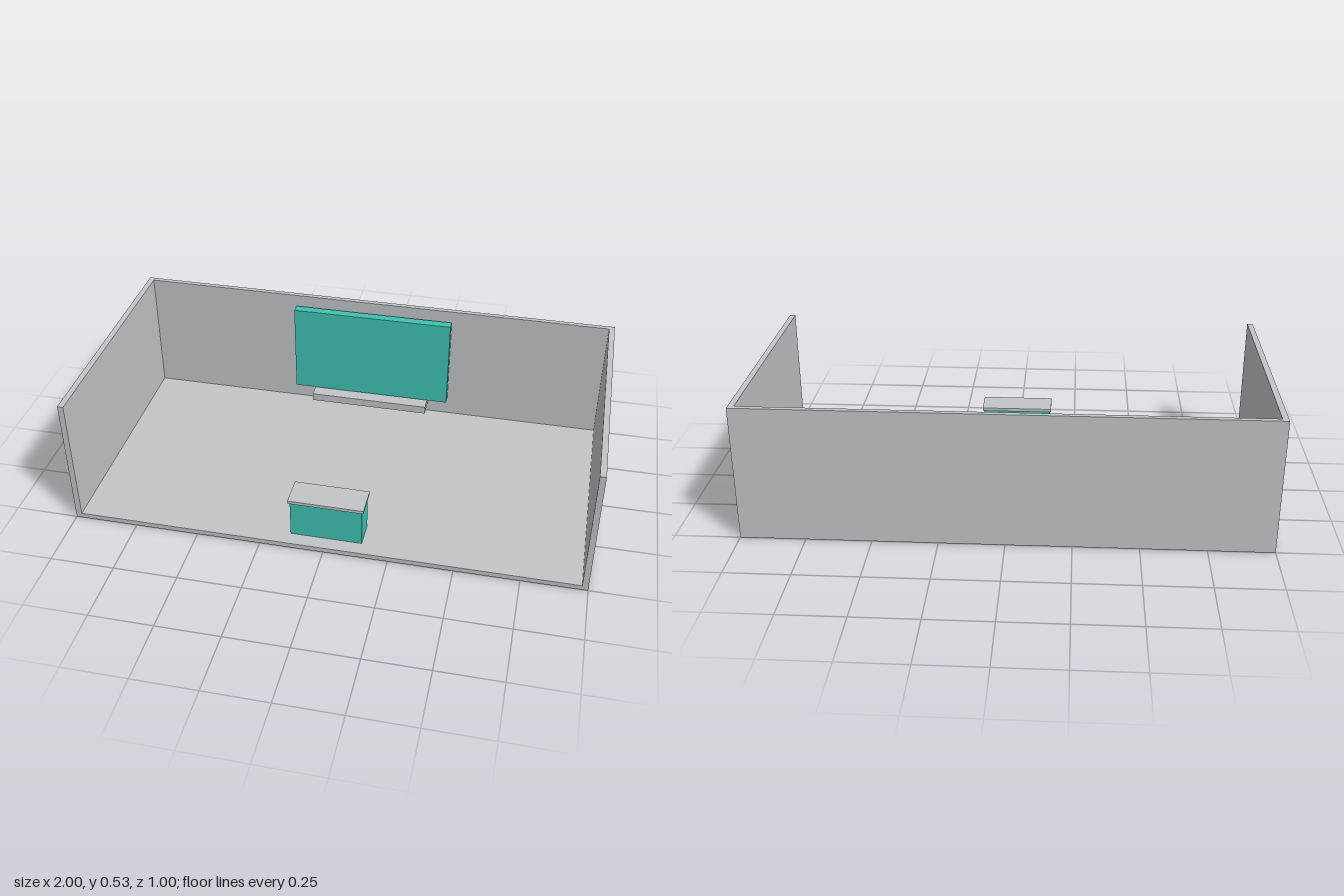
import * as THREE from 'three';

export function createModel() {
  const model = new THREE.Group();
  model.name = 'exhibitionBooth';

  const grey = new THREE.MeshStandardMaterial({ color: 0xc1c5c8 });
  grey.name = 'light grey';
  const teal = new THREE.MeshStandardMaterial({ color: 0x3fc1b2 });
  teal.name = 'teal';

  // Box given by its minimum and maximum corners
  const box = (name, material, [x0, y0, z0], [x1, y1, z1]) => {
    const mesh = new THREE.Mesh(new THREE.BoxGeometry(x1 - x0, y1 - y0, z1 - z0), material);
    mesh.position.set((x0 + x1) / 2, (y0 + y1) / 2, (z0 + z1) / 2);
    mesh.name = name;
    model.add(mesh);
  };

  // Shell: floor, back wall and two side walls, open at the front
  const H = 0.533, side = 0.977, back = -0.48, floor = 0.02;
  box('floor', grey, [-side, 0, back], [side, floor, 0.5]);
  box('backWall', grey, [-side, 0, -0.5], [side, H, back]);
  box('leftWall', grey, [side, 0, -0.5], [1, H, 0.5]);
  box('rightWall', grey, [-1, 0, -0.5], [-side, H, 0.5]);

  // Screen on the back wall with a floating shelf below
  box('screen', teal, [-0.335, 0.105, -0.47], [0.335, 0.487, -0.433]);
  box('shelf', grey, [-0.25, 0.067, back], [0.25, 0.1, -0.385]);

  // Reception counter; its base shows through the floor's underside
  box('counterBody', teal, [-0.14, 0, 0.337], [0.14, 0.174, 0.443]);
  box('counterTop', grey, [-0.147, 0.174, 0.33], [0.147, 0.187, 0.45]);

  return model;
}
